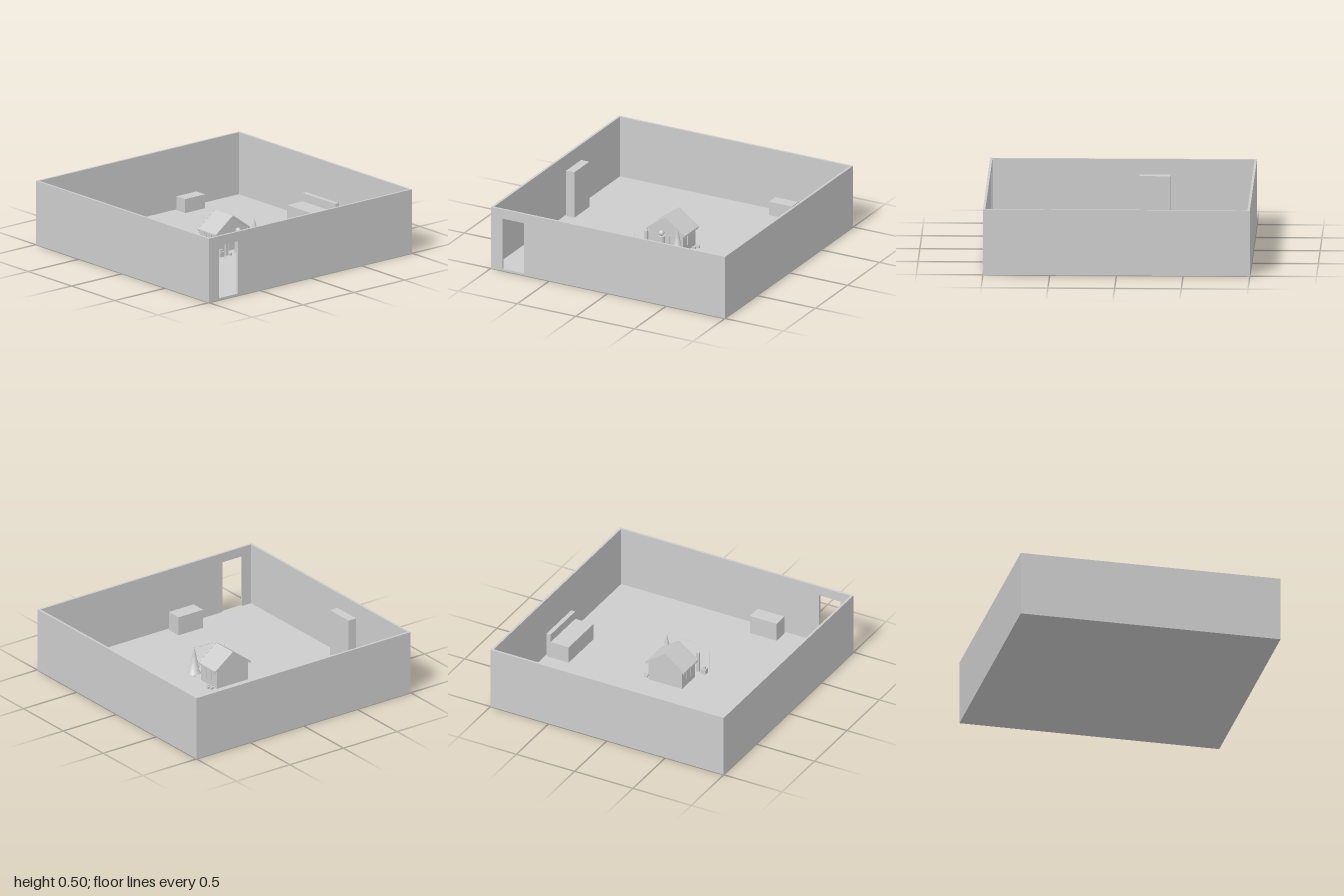
import * as THREE from 'three';

export function createModel() {
  const model = new THREE.Group();
  const grey = new THREE.MeshStandardMaterial({ color: 0xcccccc });
  grey.name = 'plain grey';
  const FLOOR = 0.016, T = 0.018;

  const add = (name, geometry, x = 0, y = 0, z = 0, parent = model) => {
    const mesh = new THREE.Mesh(geometry, grey);
    mesh.name = name;
    mesh.position.set(x, y, z);
    parent.add(mesh);
    return mesh;
  };
  // Box given by its limits on each axis
  const box = (name, x0, x1, y0, y1, z0, z1, parent) =>
    add(name, new THREE.BoxGeometry(x1 - x0, y1 - y0, z1 - z0),
      (x0 + x1) / 2, (y0 + y1) / 2, (z0 + z1) / 2, parent);
  const group = (name) => {
    const g = new THREE.Group();
    g.name = name;
    model.add(g);
    return g;
  };

  // Open-topped room with a doorway in the front wall
  const room = group('room');
  box('floor', -1 + T, 1 - T, 0, FLOOR, -1 + T, 1 - T, room);
  box('backWall', -1, 1, 0, 0.5, -1, -1 + T, room);
  for (const s of [-1, 1]) {
    add('sideWall', new THREE.BoxGeometry(T, 0.5, 2 - 2 * T), s * (1 - T / 2), 0.25, 0, room);
  }
  const front = new THREE.Shape([[-1, 0], [1, 0], [1, 0.5], [-1, 0.5]].map(p => new THREE.Vector2(...p)));
  front.holes.push(new THREE.Path(
    [[-0.9, FLOOR], [-0.9, 0.425], [-0.715, 0.425], [-0.715, FLOOR]].map(p => new THREE.Vector2(...p))));
  add('frontWall', new THREE.ExtrudeGeometry(front, { depth: T, bevelEnabled: false }), 0, 0, 1 - T, room);

  // Furniture along the walls
  box('wardrobe', -0.97, -0.9, FLOOR, 0.385, -0.355, -0.12);
  const sofa = group('sofa');
  box('sofaSeat', 0.78, 0.935, FLOOR, 0.15, -0.19, 0.19, sofa);
  box('sofaBack', 0.935, 0.97, FLOOR, 0.215, -0.19, 0.19, sofa);
  box('sideboard', -0.43, -0.2, FLOOR, 0.165, 0.84, 0.96);
  box('lowCabinet', 0.355, 0.55, FLOOR, 0.125, -0.965, -0.865);

  // Small house with gable walls
  const house = group('house');
  const gable = new THREE.Shape([[-0.145, FLOOR], [0.145, FLOOR], [0.145, 0.17], [0, 0.275], [-0.145, 0.17]]
    .map(p => new THREE.Vector2(...p)));
  add('houseWalls', new THREE.ExtrudeGeometry(gable, { depth: 0.2, bevelEnabled: false }), 0, 0, -0.105, house);
  const slab = new THREE.Shape([[0, 0.272], [0.165, 0.155], [0.165, 0.165], [0, 0.284]]
    .map(p => new THREE.Vector2(...p)));
  const trim = new THREE.Shape([[0, 0.268], [0.165, 0.151], [0.165, 0.168], [0, 0.287]]
    .map(p => new THREE.Vector2(...p)));
  for (const turn of [0, Math.PI]) {
    const side = new THREE.Group();
    side.name = 'houseSide';
    side.rotation.y = turn;
    side.position.z = -0.005;
    house.add(side);
    add('roofSlope', new THREE.ExtrudeGeometry(slab, { depth: 0.2, bevelEnabled: false }), 0, 0, -0.1, side);
    for (const z of [-0.11, 0.1]) {
      add('roofTrim', new THREE.ExtrudeGeometry(trim, { depth: 0.01, bevelEnabled: false }), 0, 0, z, side);
    }
    // Eave drops and side window
    for (const z of [-0.09, -0.03, 0.03, 0.09]) {
      add('icicle', new THREE.ConeGeometry(0.005, 0.025, 8).rotateX(Math.PI), 0.162, 0.146, z, side);
    }
    box('window', 0.144, 0.149, 0.07, 0.14, -0.025, 0.025, side);
    for (const z of [-0.03, 0.03]) box('windowFrame', 0.144, 0.152, 0.065, 0.145, z - 0.005, z + 0.005, side);
  }
  box('houseDoor', -0.035, 0.035, FLOOR, 0.14, 0.094, 0.1, house);

  // Tiered tree beside the house
  const tree = group('tree');
  add('trunk', new THREE.CylinderGeometry(0.01, 0.01, 0.04, 12), 0.145, 0.035, 0.18, tree);
  for (let i = 0; i < 4; i++) {
    add('branches', new THREE.ConeGeometry(0.052 - i * 0.011, 0.085, 20), 0.145, 0.088 + i * 0.043, 0.18, tree);
  }

  // Round figure by the door
  const figure = group('figure');
  add('figureBody', new THREE.CylinderGeometry(0.026, 0.03, 0.145, 20), 0, 0.088, 0.165, figure);
  add('figureHead', new THREE.SphereGeometry(0.022, 20, 12), 0, 0.182, 0.165, figure);

  // Parcels, post and thin rods in front
  const yard = group('yard');
  box('parcel', -0.2, -0.16, FLOOR, 0.055, 0.155, 0.195, yard);
  box('parcelTop', -0.19, -0.168, 0.055, 0.072, 0.165, 0.185, yard);
  box('post', -0.138, -0.112, FLOOR, 0.18, 0.165, 0.185, yard);
  box('smallParcel', -0.118, -0.1, FLOOR, 0.035, 0.197, 0.208, yard);
  box('thinPole', -0.188, -0.186, FLOOR, 0.175, 0.239, 0.241, yard);
  box('wire', -0.07, 0.065, 0.209, 0.211, 0.244, 0.246, yard);

  // Logs by the side wall
  for (const [x, z, w] of [[0.175, -0.085, 0.028], [0.185, -0.06, 0.034], [0.171, -0.033, 0.024]]) {
    box('log', x - w / 2, x + w / 2, FLOOR, 0.032, z - 0.008, z + 0.008, yard);
  }
  return model;
}
